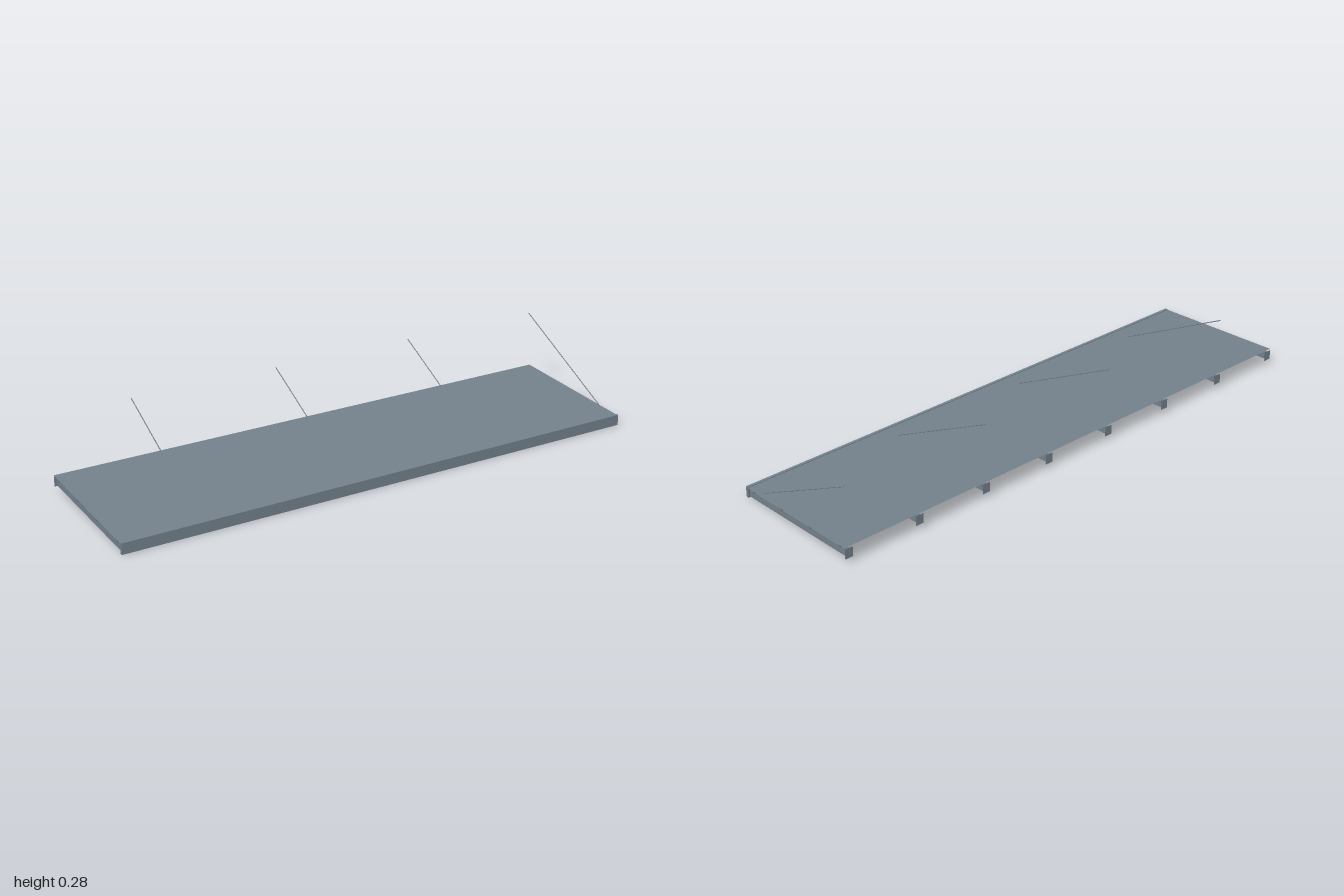
import * as THREE from 'three';

export function createModel() {
  const canopy = new THREE.Group();
  canopy.name = 'canopy';
  const steel = new THREE.MeshStandardMaterial({ color: 0x74818c });
  steel.name = 'blue grey steel';
  const sheetSteel = new THREE.MeshStandardMaterial({ color: 0x74818c, side: THREE.DoubleSide });
  sheetSteel.name = 'blue grey sheet';

  const add = (name, geometry, x, y, z, tilt = 0, material = steel) => {
    const mesh = new THREE.Mesh(geometry, material);
    mesh.name = name;
    mesh.position.set(x, y, z);
    mesh.rotation.x = tilt;
    canopy.add(mesh);
    return mesh;
  };

  // The roof rises gently towards the back
  const rise = 0.0485;
  const slope = Math.atan(rise);
  const roofY = (z, base) => base - rise * z;

  // Front fascia board
  add('fascia', new THREE.BoxGeometry(2, 0.04, 0.011), 0, 0.02, 0.2655);

  // Roof sheet resting on the purlins
  const sheet = new THREE.PlaneGeometry(2, 0.531 / Math.cos(slope));
  sheet.rotateX(-Math.PI / 2);
  add('roofSheet', sheet, 0, roofY(-0.0045, 0.0503), -0.0045, slope, sheetSteel);

  // Purlins running the full width
  const purlin = new THREE.BoxGeometry(2, 0.01, 0.01);
  for (const z of [0.233, 0.0765, -0.08, -0.237]) {
    add('purlin', purlin, 0, roofY(z, 0.045), z, slope);
  }

  // Sloping beams with wall plates, and a tie rod on every second beam
  const beam = new THREE.BoxGeometry(0.016, 0.025, 0.523);
  const plate = new THREE.BoxGeometry(0.03, 0.036, 0.001);
  const rodLow = new THREE.Vector3(0, 0.028, 0.222);
  const rodHigh = new THREE.Vector3(0, 0.28, -0.268);
  const rodAxis = rodHigh.clone().sub(rodLow);
  const rodMid = rodLow.clone().add(rodHigh).multiplyScalar(0.5);
  const rod = new THREE.CylinderGeometry(0.0018, 0.0018, rodAxis.length(), 10);
  const rodTilt = Math.atan2(rodAxis.z, rodAxis.y);
  for (let i = 0; i < 8; i++) {
    const x = 0.985 - i * (1.97 / 7);
    add('beam', beam, x, 0.0272, 0, slope);
    add('wallPlate', plate, x, 0.04, -0.27);
    if (i % 2 === 0) add('tieRod', rod, x, rodMid.y, rodMid.z, rodTilt);
  }
  return canopy;
}
